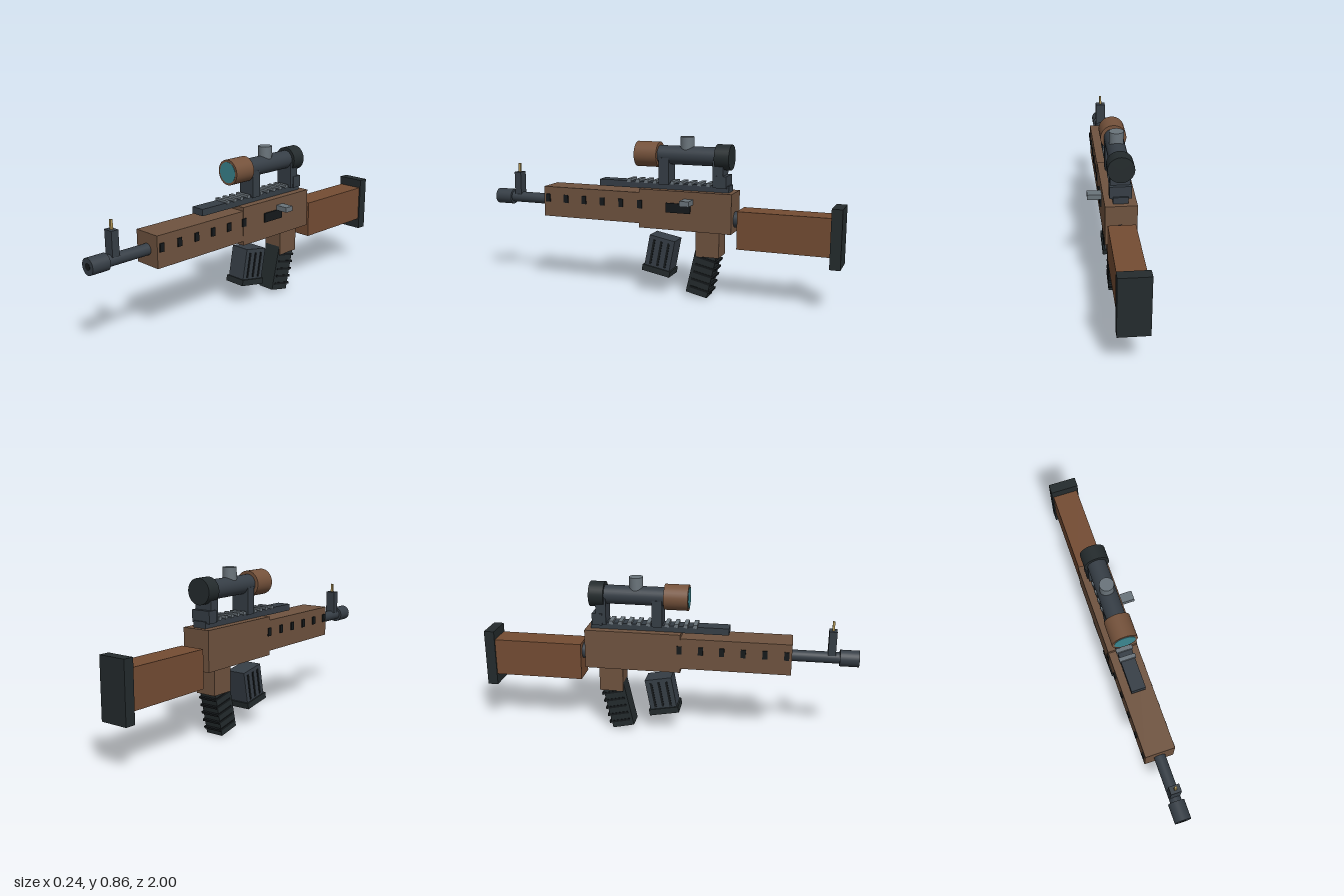
import * as THREE from 'three';

const mat = (color) => new THREE.MeshStandardMaterial({ color });
const M = {
  wood: mat(0x6f533f), stock: mat(0x744c33), metal: mat(0x363e46), dark: mat(0x242b2d),
  black: mat(0x15191b), grey: mat(0x6a747b), ring: mat(0x75523b), glass: mat(0x3b8690), brass: mat(0xb59a5a),
};

function add(parent, name, geometry, material, x, y, z) {
  const mesh = new THREE.Mesh(geometry, material);
  mesh.name = name;
  mesh.position.set(x, y, z);
  parent.add(mesh);
  return mesh;
}

// Box given by its width and its y and z limits, centred on x
function block(parent, name, material, w, y0, y1, z0, z1, x = 0) {
  return add(parent, name, new THREE.BoxGeometry(w, y1 - y0, z1 - z0), material, x, (y0 + y1) / 2, (z0 + z1) / 2);
}

// Cylinder along z
function rod(parent, name, material, r, y, z0, z1) {
  const g = new THREE.CylinderGeometry(r, r, z1 - z0, 32).rotateX(Math.PI / 2);
  return add(parent, name, g, material, 0, y, (z0 + z1) / 2);
}

function group(parent, name, y, z, tilt = 0) {
  const g = new THREE.Group();
  g.name = name;
  g.position.set(0, y, z);
  g.rotation.x = tilt;
  parent.add(g);
  return g;
}

export function createModel() {
  const model = new THREE.Group();
  model.name = 'model';
  const body = group(model, 'body', 0, 0);
  body.position.x = -0.035; // the side handle puts the body off centre

  // Stock
  block(body, 'stock', M.stock, 0.138, 0.298, 0.498, -0.945, -0.465);
  block(body, 'buttPad', M.dark, 0.154, 0.238, 0.546, -1, -0.945);
  rod(body, 'stockConnector', M.metal, 0.042, 0.443, -0.47, -0.435);

  // Receiver and handguard
  block(body, 'receiver', M.wood, 0.16, 0.375, 0.586, -0.437, 0.077);
  block(body, 'handguard', M.wood, 0.157, 0.398, 0.566, 0.077, 0.656);
  for (let i = 0; i < 6; i++) {
    const z = 0.072 + i * 0.1115;
    for (const side of [-1, 1])
      block(body, 'ventSlot', M.black, 0.012, 0.481, 0.525, z - 0.013, z + 0.013, side * 0.079);
  }
  block(body, 'sidePort', M.black, 0.02, 0.47, 0.521, -0.215, -0.08, 0.078);
  block(body, 'sideHandle', M.grey, 0.083, 0.519, 0.547, -0.23, -0.178, 0.1115);

  // Barrel and front sight
  rod(body, 'barrel', M.metal, 0.03, 0.481, 0.64, 0.91);
  rod(body, 'muzzle', M.metal, 0.043, 0.481, 0.9, 0.999);
  rod(body, 'muzzleHole', M.black, 0.019, 0.481, 0.99, 1);
  block(body, 'frontSightBase', M.metal, 0.055, 0.5, 0.629, 0.838, 0.878);
  block(body, 'frontSightPost', M.brass, 0.012, 0.629, 0.677, 0.852, 0.864);

  // Top rail with cross ridges
  block(body, 'rail', M.metal, 0.076, 0.584, 0.62, -0.41, 0.327);
  for (let i = 0; i < 10; i++) {
    const z = 0.15 - i * 0.05;
    block(body, 'railRidge', M.grey, 0.088, 0.614, 0.632, z - 0.011, z + 0.011);
  }
  block(body, 'rearSight', M.metal, 0.11, 0.609, 0.673, -0.4, -0.345);

  // Scope
  const scope = group(body, 'scope', 0, 0);
  block(scope, 'frontMount', M.metal, 0.1, 0.612, 0.755, -0.08, -0.025);
  block(scope, 'rearMount', M.metal, 0.1, 0.612, 0.755, -0.38, -0.325);
  rod(scope, 'scopeTube', M.metal, 0.05, 0.767, -0.34, 0);
  rod(scope, 'objective', M.ring, 0.068, 0.767, -0.015, 0.112);
  rod(scope, 'lens', M.glass, 0.056, 0.767, 0.1, 0.114);
  rod(scope, 'eyepiece', M.dark, 0.067, 0.767, -0.414, -0.335);
  add(scope, 'turret', new THREE.CylinderGeometry(0.037, 0.037, 0.1, 32), M.grey, 0, 0.818, -0.169);

  // Grip, leaning forward at the bottom, with ribs on its back and sides
  block(body, 'gripHousing', M.wood, 0.115, 0.237, 0.378, -0.367, -0.238);
  const grip = group(body, 'grip', 0.151, -0.27, -0.22);
  block(grip, 'gripBody', M.dark, 0.1, -0.131, 0.131, -0.06, 0.06);
  for (let i = 0; i < 5; i++) {
    const y = -0.095 + i * 0.043;
    block(grip, 'gripRib', M.black, 0.106, y - 0.006, y + 0.006, -0.072, 0.045);
  }

  // Magazine with upright ribs on both sides
  const magazine = group(body, 'magazine', 0.236, -0.032, -0.185);
  block(magazine, 'magazineBody', M.metal, 0.109, -0.092, 0.085, -0.073, 0.073);
  block(magazine, 'magazineBase', M.dark, 0.126, -0.118, -0.085, -0.081, 0.081);
  for (const z of [-0.042, 0, 0.042])
    block(magazine, 'magazineRib', M.black, 0.117, -0.075, 0.065, z - 0.006, z + 0.006);

  return model;
}
